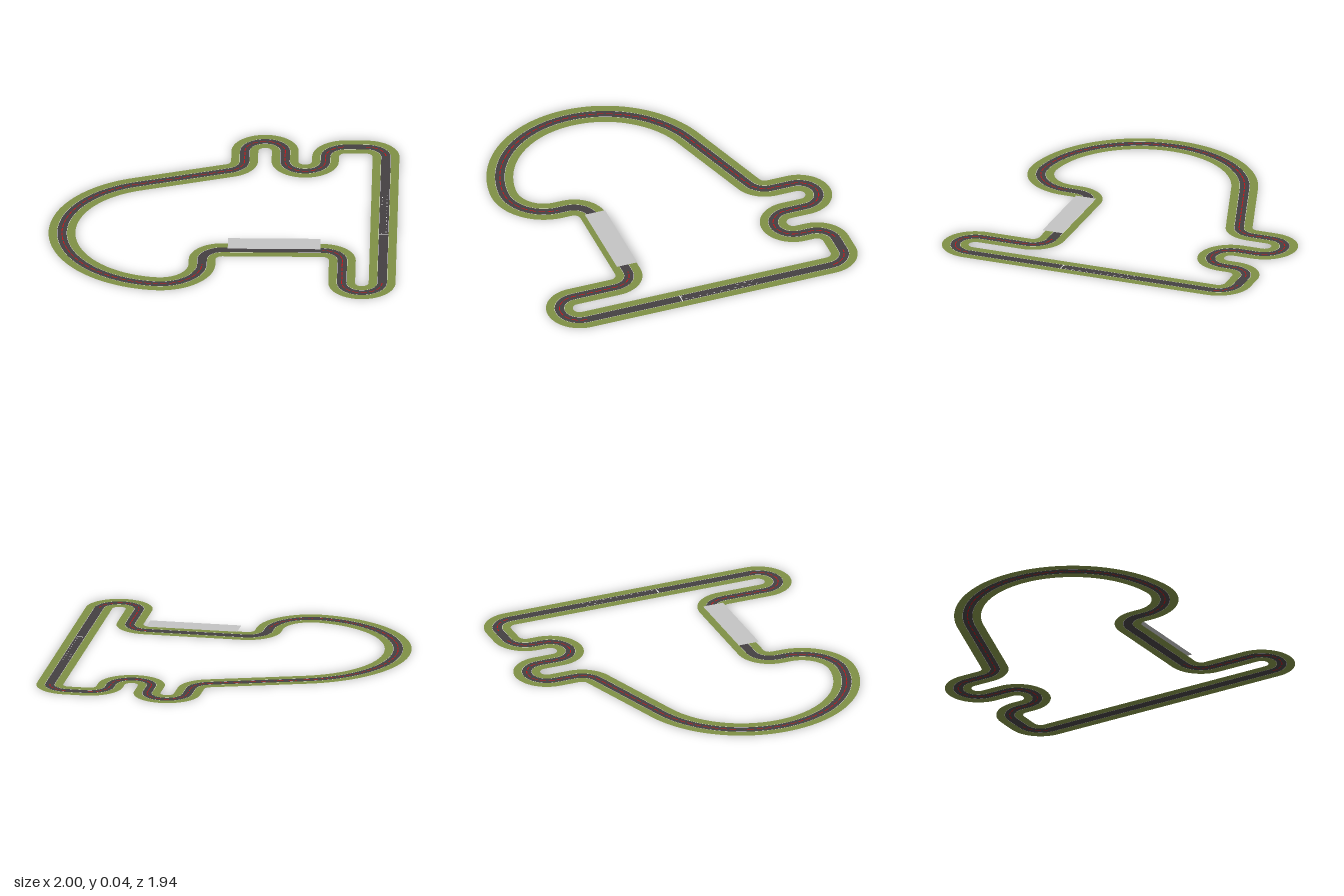
import * as THREE from 'three';

const material = (name, color) =>
  new THREE.MeshStandardMaterial({ name, color, side: THREE.DoubleSide });

// Circuit bends in driving order: centre x, centre z, radius, start and end angle
// (degrees), red dashes on the bend, red dashes on the straight after it.
const R = 0.116;
const BENDS = [
  [0.807, 0.775, R, 0, 180, true, true],           // bottom hairpin
  [0.575, 0.51, R, 0, -90, true, false],           // onto the covered straight
  [0.002, 0.51, R, -90, -180, false, false],
  [-0.354, 0.564, 0.24, 0, 95.6, true, true],      // tightening entry
  [-0.318, 0.201, 0.605, 95.6, 252, true, true],   // long sweeper
  [-0.004, -0.658, R, 72, 0, true, true],          // chicane
  [0.228, -0.78, R, 180, 360, true, true],
  [0.46, -0.662, R, 180, 0, true, true],
  [0.692, -0.721, R, 180, 270, true, false],
  [0.807, -0.721, R, -90, 0, true, false],         // onto the main straight
];
const STEP = 0.013;

// Sample the closed centre line: position, sideways direction and dash flag
function sampleCircuit() {
  const points = [];
  const onBend = ([cx, cz, r, a0, a1], t) => {
    const a = THREE.MathUtils.degToRad(a0 + (a1 - a0) * t);
    const s = Math.sign(a1 - a0);
    const c = Math.cos(a), n = Math.sin(a);
    return { x: cx + r * c, z: cz + r * n, nx: s * c, nz: s * n };
  };
  BENDS.forEach((bend, i) => {
    const sweep = THREE.MathUtils.degToRad(Math.abs(bend[4] - bend[3]));
    const n = Math.ceil((sweep * bend[2]) / STEP);
    for (let k = 0; k < n; k++) points.push({ ...onBend(bend, k / n), dashed: bend[5] });
    const p = onBend(bend, 1);
    const q = onBend(BENDS[(i + 1) % BENDS.length], 0);
    const m = Math.max(1, Math.ceil(Math.hypot(q.x - p.x, q.z - p.z) / STEP));
    for (let k = 0; k < m; k++) {
      const t = k / m;
      points.push({ ...p, x: p.x + (q.x - p.x) * t, z: p.z + (q.z - p.z) * t, dashed: bend[6] });
    }
  });
  return points;
}

// Flat strip between two sideways offsets, keeping only the chosen stretches
function ribbon(points, from, to, keep = () => true) {
  const position = [], normal = [], index = [];
  for (const p of points) {
    for (const o of [from, to]) {
      position.push(p.x + p.nx * o, 0, p.z + p.nz * o);
      normal.push(0, 1, 0);
    }
  }
  points.forEach((p, i) => {
    if (!keep(p, i)) return;
    const a = 2 * i, b = 2 * ((i + 1) % points.length);
    index.push(a, b, a + 1, a + 1, b, b + 1);
  });
  const geometry = new THREE.BufferGeometry();
  geometry.setAttribute('position', new THREE.Float32BufferAttribute(position, 3));
  geometry.setAttribute('normal', new THREE.Float32BufferAttribute(normal, 3));
  geometry.setIndex(index);
  return geometry;
}

export function createModel() {
  const model = new THREE.Group();
  model.name = 'raceCircuit';
  const grass = material('grass', 0x7f9045);
  const asphalt = material('asphalt', 0x444042);
  const white = material('whitePaint', 0xf0f0f0);
  const red = material('redPaint', 0xc41216);
  const roof = material('roofGrey', 0xc4c4c4);

  const add = (name, geometry, mat, x = 0, y = 0, z = 0) => {
    const mesh = new THREE.Mesh(geometry, mat);
    mesh.name = name;
    mesh.position.set(x, y, z);
    model.add(mesh);
  };
  const plate = (w, d) => new THREE.PlaneGeometry(w, d).rotateX(-Math.PI / 2);

  // Strips laid side by side across the track
  const points = sampleCircuit();
  const isDash = (p, i) => p.dashed && i % 4 !== 3;
  const LINE = 0.003, ROAD = 0.027, EDGE = 0.029, VERGE = 0.077;
  for (const [side, s] of [['left', 1], ['right', -1]]) {
    const strip = (a, b) => ribbon(points, Math.min(s * a, s * b), Math.max(s * a, s * b));
    add(side + 'Road', strip(LINE, ROAD), asphalt);
    add(side + 'EdgeLine', strip(ROAD, EDGE), white);
    add(side + 'Verge', strip(EDGE, VERGE), grass);
  }
  add('centreDashes', ribbon(points, -LINE, LINE, isDash), red);
  add('centreRoad', ribbon(points, -LINE, LINE, (p, i) => !isDash(p, i)), asphalt);

  // Start line and staggered grid marks on the main straight
  add('startLine', plate(2 * ROAD, 0.006), white, 0.923, 0.001, 0.197);
  for (let i = 0; i < 11; i++) {
    const z = -0.26 + i * 0.043;
    add('gridMark', plate(0.005, 0.01), white, 0.937, 0.001, z);
    if (i < 3 || i > 9) add('gridMark', plate(0.005, 0.01), white, 0.909, 0.001, z + 0.02);
  }

  // Flat roof over the lower straight
  add('roof', plate(0.532, 0.124), roof, 0.298, 0.042, 0.394);
  return model;
}
